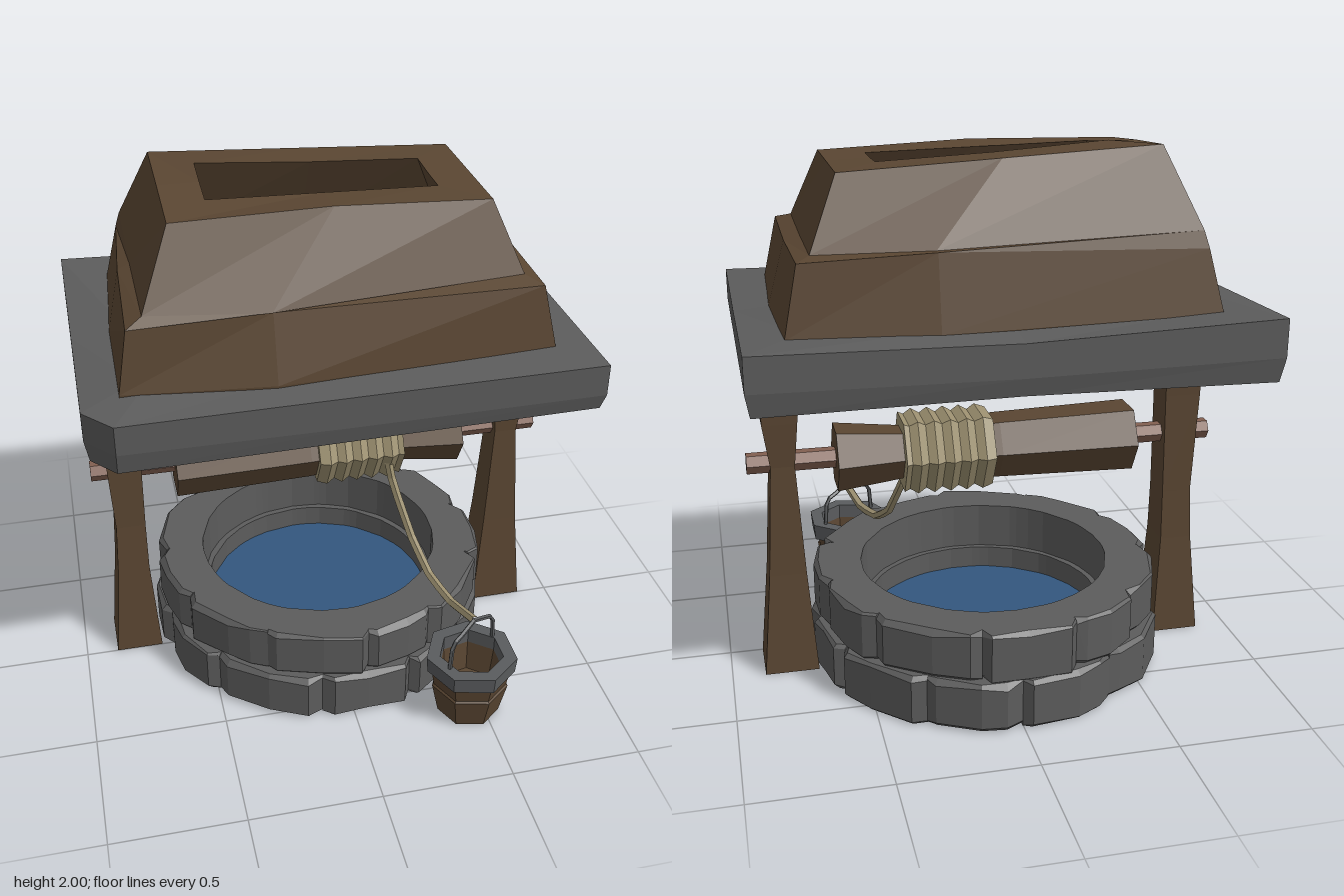
import * as THREE from 'three';

const CZ = -0.105; // depth of the well's axis

function mat(name, color) {
  const m = new THREE.MeshStandardMaterial({ color });
  m.name = name;
  return m;
}

// Faceted normals
function flat(geo) {
  const g = geo.index ? geo.toNonIndexed() : geo;
  g.computeVertexNormals();
  return g;
}

// Skin through loops of equal length; fan caps, or a closed ring of loops
function loft(loops, closed = false) {
  const pos = [], n = loops[0].length;
  const tri = (...p) => p.forEach((q) => pos.push(...q));
  const last = closed ? loops.length : loops.length - 1;
  for (let i = 0; i < last; i++) {
    const A = loops[i], B = loops[(i + 1) % loops.length];
    for (let j = 0; j < n; j++) {
      const k = (j + 1) % n;
      tri(A[j], A[k], B[k]);
      tri(A[j], B[k], B[j]);
    }
  }
  if (!closed) {
    const cap = (L, flip) => {
      const c = [0, 1, 2].map((a) => L.reduce((s, p) => s + p[a], 0) / n);
      L.forEach((p, j) => (flip ? tri(c, L[(j + 1) % n], p) : tri(c, p, L[(j + 1) % n])));
    };
    cap(loops[0], true);
    cap(loops[loops.length - 1], false);
  }
  const g = new THREE.BufferGeometry();
  g.setAttribute('position', new THREE.Float32BufferAttribute(pos, 3));
  return flat(g);
}

// Eight-point rectangle: front left, front mid, front right, right mid, back ...
function rect(x0, x1, z0, z1, y) {
  const zm = (z0 + z1) / 2;
  return [
    [x0, z1], [0, z1], [x1, z1], [x1, zm], [x1, z0], [0, z0], [x0, z0], [x0, zm],
  ].map(([x, z], i) => [x, Array.isArray(y) ? y[i] : y, z]);
}

const lathe = (pts, sides, start = 0) =>
  flat(new THREE.LatheGeometry(pts.map(([r, y]) => new THREE.Vector2(r, y)), sides, start));

const tube = (pts, segs, r) =>
  flat(new THREE.TubeGeometry(
    new THREE.CatmullRomCurve3(pts.map((p) => new THREE.Vector3(...p)), false, 'catmullrom', 0.1), segs, r, 5));

export function createModel() {
  const model = new THREE.Group();
  const wood = mat('wood', 0x5a4632);
  const stone = mat('stone', 0x5c5c5c);
  const iron = mat('iron', 0x5a5c5e);
  const water = mat('water', 0x33577e);
  const rope = mat('rope', 0x9c9070);
  const axleWood = mat('axle wood', 0x825f50);
  const add = (name, geo, material, parent = model) => {
    const mesh = new THREE.Mesh(geo, material);
    mesh.name = name;
    parent.add(mesh);
    return mesh;
  };
  let seed = 7;
  const rnd = () => (seed = (seed * 16807) % 2147483647) / 2147483647;
  const jit = (a) => (rnd() - 0.5) * 2 * a;

  // Well wall: two courses of roughly bevelled wedge stones
  const wall = new THREE.Group();
  wall.name = 'wellWall';
  wall.position.z = CZ;
  model.add(wall);
  const courses = [
    { y0: 0, y1: 0.19, r: 0.675, inner: 0.458, turn: 0.1 },
    { y0: 0.187, y1: 0.375, r: 0.657, inner: 0.482, turn: 0.42 },
  ];
  const COUNT = 11;
  for (const { y0, y1, r, inner, turn } of courses) {
    const cuts = [];
    for (let i = 0; i < COUNT; i++) cuts.push(turn + ((i + jit(0.16)) / COUNT) * Math.PI * 2);
    cuts.push(cuts[0] + Math.PI * 2);
    for (let i = 0; i < COUNT; i++) {
      const a0 = cuts[i], a1 = cuts[i + 1];
      const loops = [0, 0.08 + rnd() * 0.1, 0.4 + rnd() * 0.2, 0.82 + rnd() * 0.1, 1].map((f) => {
        const t = a0 + (a1 - a0) * f;
        const end = f === 0 || f === 1;
        const ro = end ? r - 0.024 : r + jit(0.014);
        const b0 = 0.004 + rnd() * 0.02, b1 = 0.004 + rnd() * 0.02;
        return [
          [inner, y0], [ro - b0, y0], [ro, y0 + b0], [ro, y1 - b1], [ro - b1, y1], [inner, y1],
        ].map(([q, y]) => [q * Math.cos(t), y, q * Math.sin(t)]);
      });
      add('wallStone', loft(loops), stone, wall);
    }
  }

  // Water
  add('water', flat(new THREE.CylinderGeometry(0.5, 0.5, 0.08, 12)), water).position.set(0, 0.06, CZ);

  // Posts: [y, x inner, x outer, z back, z front]
  const posts = {
    leftPost: [1, [[0, 0.67, 0.875, -0.2, 0], [0.4, 0.7, 0.84, -0.175, -0.02], [0.83, 0.725, 0.815, -0.16, -0.04],
      [1.0, 0.71, 0.84, -0.17, -0.035], [1.33, 0.69, 0.845, -0.18, -0.03]]],
    rightPost: [-1, [[0, 0.69, 0.875, -0.2, 0], [0.4, 0.715, 0.84, -0.175, -0.02], [0.6, 0.715, 0.83, -0.17, -0.03],
      [1.0, 0.71, 0.85, -0.17, -0.035], [1.33, 0.71, 0.855, -0.18, -0.03]]],
  };
  for (const [name, [s, rows]] of Object.entries(posts)) {
    add(name, loft(rows.map(([y, xi, xo, zb, zf]) => {
      const [a, b] = s > 0 ? [xi, xo] : [-xo, -xi];
      return [[a, y, zf], [b, y, zf], [b, y, zb], [a, y, zb]];
    })), wood);
  }

  // Windlass: axle, roller and wound rope, all six-sided around x
  const windlass = new THREE.Group();
  windlass.name = 'windlass';
  windlass.position.set(0, 0.835, CZ);
  model.add(windlass);
  const along = (name, pts, m) => add(name, lathe(pts, 6).rotateZ(-Math.PI / 2), m, windlass);
  along('axle', [[0, -0.905], [0.04, -0.905], [0.04, 0.9], [0, 0.9]], axleWood);
  along('roller', [[0, -0.58], [0.139, -0.58], [0.126, -0.05], [0.1, 0.3], [0.131, 0.57], [0, 0.57]], wood);
  const coil = [[0.1, -0.02], [0.15, -0.02]];
  for (let i = 0; i < 5; i++) {
    const x = 0.02 + i * 0.062;
    coil.push([0.165, x], [0.145, x + 0.031]);
  }
  coil.push([0.155, 0.32], [0.1, 0.32]);
  along('ropeCoil', coil, rope);

  // Loose rope from the coil to the bucket handle
  add('looseRope', tube([
    [0.26, 0.8, 0.01], [0.28, 0.69, 0.025], [0.335, 0.49, 0.14],
    [0.37, 0.405, 0.29], [0.41, 0.387, 0.44], [0.45, 0.425, 0.61],
  ], 10, 0.017), rope);

  // Bucket
  const bucket = new THREE.Group();
  bucket.name = 'bucket';
  bucket.position.set(0.445, 0, 0.615);
  model.add(bucket);
  add('bucketBody', lathe([[0, 0], [0.122, 0], [0.15, 0.13], [0.143, 0.137], [0.158, 0.215],
    [0.125, 0.215], [0.11, 0.09], [0, 0.09]], 7, 0.22), wood, bucket);
  add('bucketRim', lathe([[0.125, 0.21], [0.172, 0.208], [0.178, 0.275], [0.125, 0.275], [0.125, 0.21]],
    7, 0.22), iron, bucket);
  add('bucketHandle', tube([[-0.11, 0.25, 0.072], [-0.1, 0.38, 0.065], [-0.05, 0.405, 0.035], [0, 0.43, 0],
    [0.05, 0.405, -0.035], [0.1, 0.38, -0.065], [0.11, 0.25, -0.072]], 14, 0.009), iron, bucket);

  // Stone eaves: a closed rectangular frame with one cut corner
  const outer = (y, d) => {
    const p = rect(-0.92 + d, 0.913 - d, -0.74 + d, 0.525 - d, y);
    p.splice(0, 1, [-0.92 + d, p[0][1], 0.41], [-0.82, p[0][1], 0.525 - d]);
    return p;
  };
  const inner = (y, x, z0, z1) => {
    const p = rect(-x, x, z0, z1, y);
    p.splice(0, 1, [-x, y, z1 - 0.03], [-x + 0.03, y, z1]);
    return p;
  };
  add('eaves', loft([
    outer([1.22, 1.235, 1.25, 1.245, 1.225, 1.235, 1.22, 1.235], 0.015),
    outer([1.3, 1.3, 1.31, 1.31, 1.31, 1.3, 1.31, 1.3], 0),
    outer([1.41, 1.42, 1.43, 1.42, 1.435, 1.42, 1.45, 1.42], 0),
    inner(1.44, 0.72, -0.54, 0.32), inner(1.24, 0.745, -0.565, 0.365),
  ], true), stone);

  // Roof: hollow and open at the top, in two tiers whose step fades at one back corner
  const foot = (y) => [
    [-0.785, y, 0.365], [-0.25, y, 0.42], [0.77, y, 0.365], [0.787, y, -0.11],
    [0.77, y, -0.59], [0.26, y, -0.635], [-0.75, y, -0.58], [-0.78, y, -0.11],
  ];
  const lowerTop = [
    [-0.745, 1.66, 0.335], [-0.25, 1.68, 0.35], [0.72, 1.67, 0.335], [0.725, 1.67, -0.12],
    [0.72, 1.68, -0.56], [0.26, 1.7, -0.585], [-0.7, 1.66, -0.54], [-0.73, 1.67, -0.12],
  ];
  const upperFoot = [
    [-0.685, 1.69, 0.3], [-0.25, 1.67, 0.335], [0.665, 1.69, 0.27], [0.67, 1.69, -0.12],
    [0.67, 1.69, -0.49], [0.26, 1.7, -0.555], [-0.685, 1.72, -0.52], [-0.685, 1.69, -0.12],
  ];
  add('roof', loft([
    foot(1.32), foot(1.435), lowerTop, upperFoot,
    rect(-0.57, 0.565, -0.39, 0.17, [1.955, 1.965, 1.94, 1.94, 1.94, 1.97, 2.0, 1.98]),
    rect(-0.42, 0.41, -0.24, 0.02, [1.965, 1.955, 1.945, 1.945, 1.95, 1.97, 2.0, 1.98]),
    rect(-0.58, 0.57, -0.43, 0.2, 1.62),
    rect(-0.64, 0.63, -0.48, 0.25, 1.44),
  ]), wood);

  return model;
}
